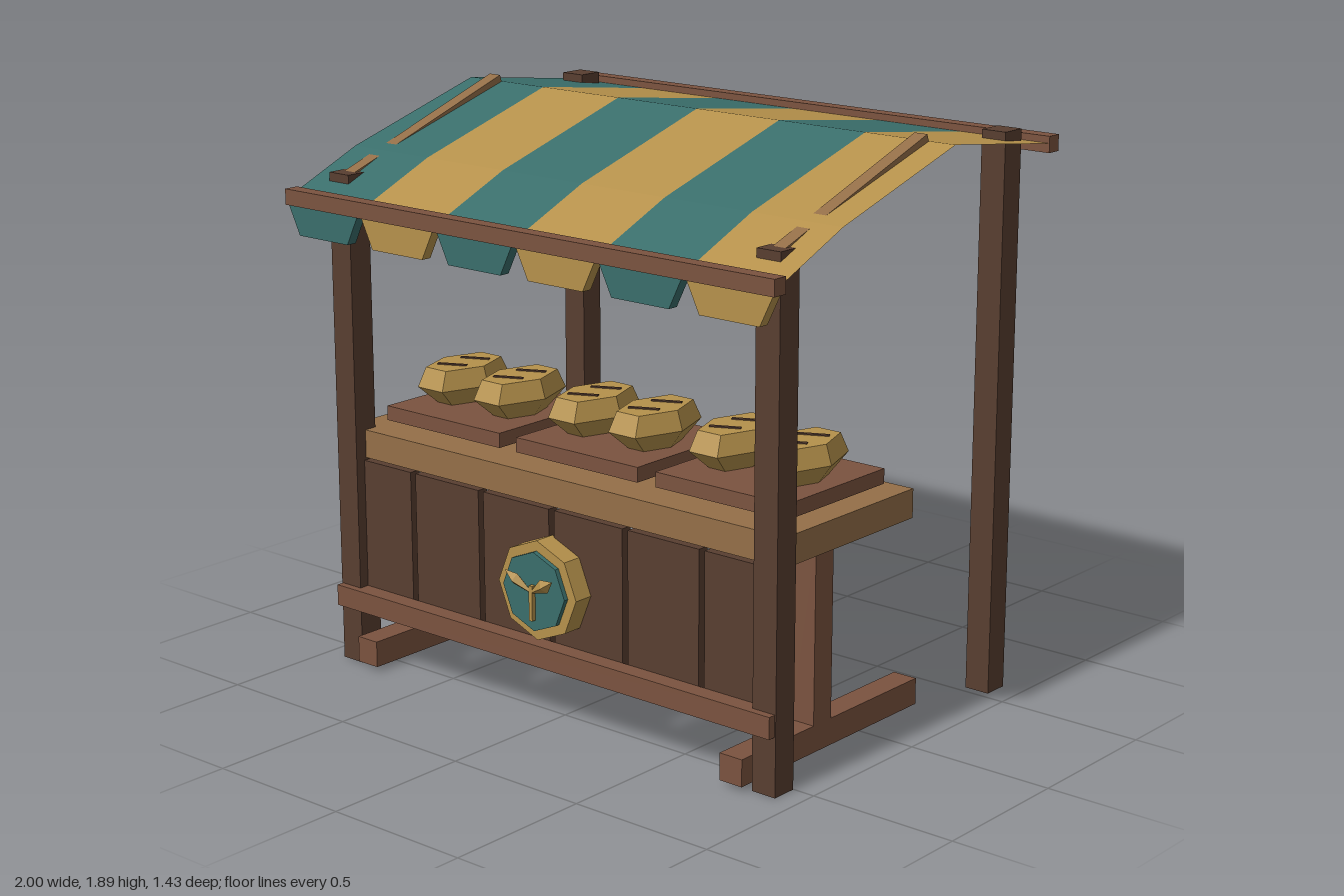
import * as THREE from 'three';

const material = (name, color, extra = {}) => {
  const m = new THREE.MeshStandardMaterial({ color, ...extra });
  m.name = name;
  return m;
};

export function createModel() {
  const group = new THREE.Group();
  const darkWood = material('dark wood', 0x583e30);
  const redWood = material('red wood', 0x7b533f);
  const lightWood = material('light wood', 0x946f48);
  const teal = material('teal', 0x3a6e6b, { side: THREE.DoubleSide });
  const gold = material('gold', 0xb5914b, { side: THREE.DoubleSide });

  const add = (name, geometry, mat, x = 0, y = 0, z = 0, parent = group) => {
    const mesh = new THREE.Mesh(geometry, mat);
    mesh.name = name;
    mesh.position.set(x, y, z);
    parent.add(mesh);
    return mesh;
  };
  // box given by its extents on each axis
  const box = (name, mat, [x0, x1], [y0, y1], [z0, z1]) =>
    add(name, new THREE.BoxGeometry(x1 - x0, y1 - y0, z1 - z0), mat,
      (x0 + x1) / 2, (y0 + y1) / 2, (z0 + z1) / 2);
  const around = (c, w) => [c - w / 2, c + w / 2];
  // prism through stacked rings, each [y, scale], closed at both ends
  const prism = (rings, sides, rx, rz) => {
    const points = [[0, rings[0][0]], ...rings.map(([y, s]) => [s, y]), [0, rings.at(-1)[0]]];
    const g = new THREE.LatheGeometry(points.map(([r, y]) => new THREE.Vector2(r, y)), sides, Math.PI / 2);
    g.scale(rx, 1, rz);
    const flat = g.toNonIndexed();
    flat.computeVertexNormals();
    return flat;
  };

  // posts, trestle legs and roof battens, mirrored
  for (const s of [-1, 1]) {
    box('frontPost', darkWood, around(s * 0.88, 0.088), [0, 1.66], [0.502, 0.59]);
    box('backPost', darkWood, around(s * 0.88, 0.088), [0, 1.85], [-0.618, -0.53]);
    box('trestleUpright', redWood, around(s * 0.778, 0.086), [0.105, 0.7], [0.182, 0.27]);
    box('trestleFoot', redWood, around(s * 0.778, 0.086), [0.017, 0.105], [-0.268, 0.62]);
    const a = new THREE.Vector2(0.545, 1.634), b = new THREE.Vector2(-0.148, 1.872);
    const batten = add('roofBatten', new THREE.BoxGeometry(0.047, 0.047, a.distanceTo(b)), lightWood,
      s * 0.88, (a.y + b.y) / 2, (a.x + b.x) / 2);
    batten.rotation.x = Math.atan2(b.y - a.y, a.x - b.x);
  }

  // roof beams
  box('frontBeam', redWood, [-1, 1], [1.562, 1.614], [0.663, 0.714]);
  box('backBeam', redWood, [-1, 1], [1.775, 1.828], [-0.714, -0.662]);

  // striped canopy sheets and hanging scallops
  const profile = [[0.69, 1.589], [0.4, 1.711], [-0.15, 1.872], [-0.69, 1.802]];
  const scallop = new THREE.Shape([[-0.158, 1.564], [-0.11, 1.467], [0.11, 1.467], [0.158, 1.564]]
    .map(([x, y]) => new THREE.Vector2(x, y)));
  for (let i = 0; i < 6; i++) {
    const x0 = -1 + i / 3, x1 = x0 + 1 / 3;
    const mat = i % 2 ? gold : teal;
    const pos = [];
    for (let k = 0; k < profile.length - 1; k++) {
      const [za, ya] = profile[k], [zb, yb] = profile[k + 1];
      pos.push(x0, ya, za, x1, ya, za, x1, yb, zb, x0, ya, za, x1, yb, zb, x0, yb, zb);
    }
    const g = new THREE.BufferGeometry();
    g.setAttribute('position', new THREE.Float32BufferAttribute(pos, 3));
    g.computeVertexNormals();
    add('canopyStripe', g, mat);
    add('canopyScallop', new THREE.ExtrudeGeometry(scallop, { depth: 0.036, bevelEnabled: false }),
      mat, (x0 + x1) / 2, 0, 0.672);
  }

  // counter, front planks and rail
  box('counterTop', lightWood, [-0.92, 0.92], [0.708, 0.803], [-0.088, 0.547]);
  for (let i = 0; i < 6; i++) {
    box('frontPlank', darkWood, around((i - 2.5) * 0.305, 0.283), [0.2, 0.7], [0.515, 0.555]);
  }
  box('frontRail', redWood, [-0.92, 0.92], [0.193, 0.264], [0.555, 0.616]);

  // trays, each with two scored loaves
  const loafShape = prism([[0, 0.58], [0.062, 1], [0.126, 0.82]], 6, 0.112, 0.186);
  for (const tx of [-0.585, 0, 0.585]) {
    box('tray', redWood, around(tx, 0.512), [0.813, 0.862], [-0.044, 0.44]);
    for (const s of [-1, 1]) {
      const loaf = new THREE.Group();
      loaf.name = 'loaf';
      loaf.position.set(tx + s * 0.128, 0.862, 0.205);
      group.add(loaf);
      add('loafBody', loafShape, gold, 0, 0, 0, loaf);
      for (const z of [-0.055, 0.055]) {
        add('loafScore', new THREE.BoxGeometry(0.1, 0.006, 0.014), darkWood, 0, 0.127, z, loaf)
          .rotation.y = 0.45;
      }
    }
  }

  // round sign with a sprout
  const sign = new THREE.Group();
  sign.name = 'sign';
  sign.position.set(0, 0.453, 0);
  group.add(sign);
  const disc = (name, r, z0, z1, mat) => {
    const g = prism([[z0, 1], [z1, 1]], 8, r, r);
    g.rotateX(Math.PI / 2);
    add(name, g, mat, 0, 0, 0, sign);
  };
  disc('signRim', 0.164, 0.55, 0.624, gold);
  disc('signFace', 0.13, 0.6, 0.64, teal);
  add('sproutStem', new THREE.BoxGeometry(0.014, 0.115, 0.016), gold, 0, -0.035, 0.647, sign);
  for (const s of [-1, 1]) {
    const g = prism([[0, 0.15], [0.07, 1], [0.115, 0.05]], 4, 0.024, 0.018);
    const leaf = add('sproutLeaf', g, gold, 0, 0, 0.65, sign);
    leaf.rotation.set(0.22, 0, -s * 1.03);
  }
  return group;
}
